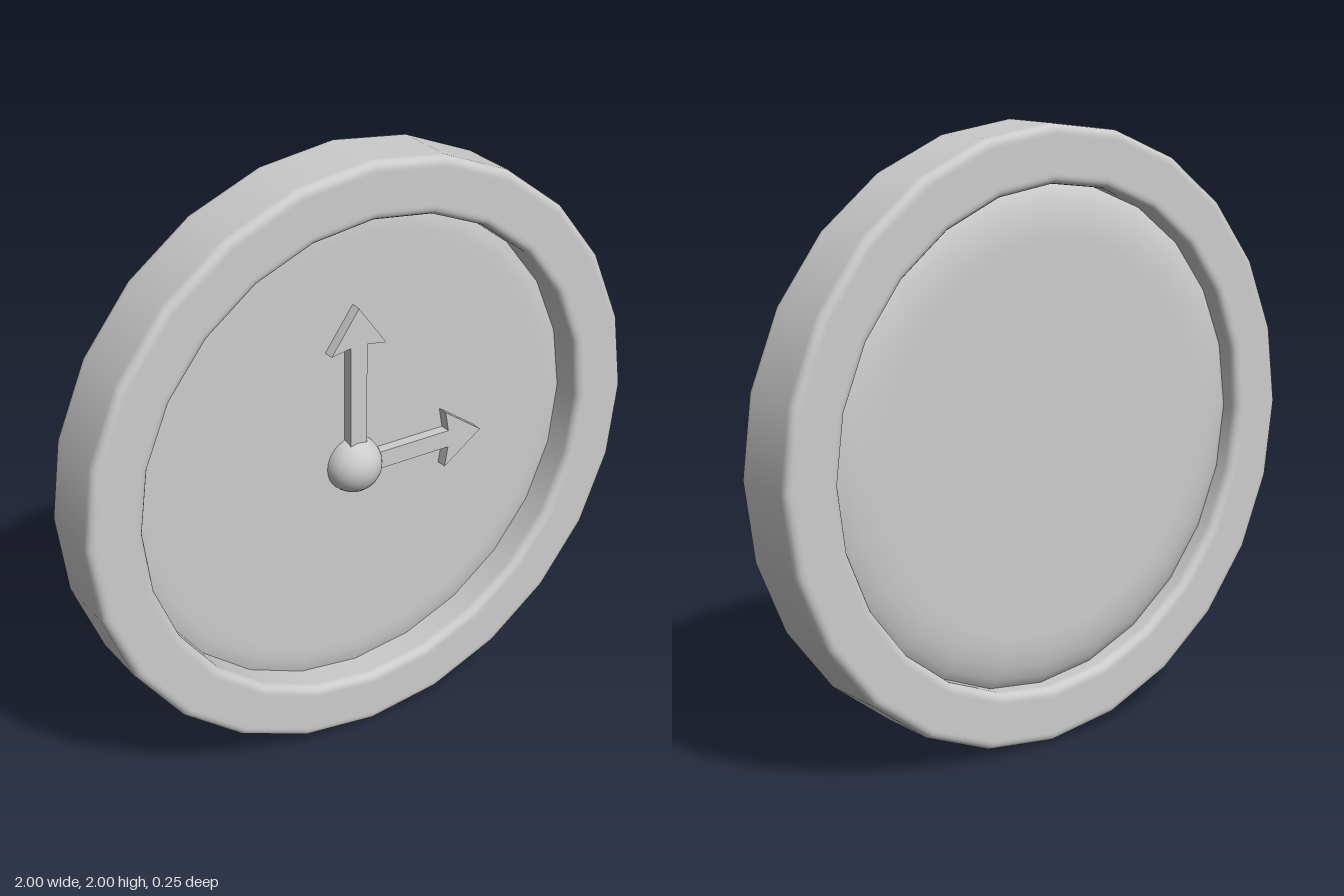
import * as THREE from 'three';

const material = new THREE.MeshStandardMaterial({ color: 0xcccccc });
const SIDES = 24;
const HUB = { x: -0.015, y: 0.955, z: 0.02 };

function addMesh(parent, name, geometry) {
  const mesh = new THREE.Mesh(geometry, material);
  mesh.name = name;
  parent.add(mesh);
  return mesh;
}

// Closed, counter-clockwise rounded rectangle in (radius, depth)
function roundedProfile(inner, outer, half, bevel) {
  const points = [];
  const corners = [
    [outer - bevel, -half + bevel, -90],
    [outer - bevel, half - bevel, 0],
    [inner + bevel, half - bevel, 90],
    [inner + bevel, -half + bevel, 180],
  ];
  for (const [cx, cy, start] of corners) {
    const at = (deg) => {
      const a = THREE.MathUtils.degToRad(deg);
      return new THREE.Vector2(cx + bevel * Math.cos(a), cy + bevel * Math.sin(a));
    };
    const along = (deg) => {
      const a = THREE.MathUtils.degToRad(deg + 90);
      return new THREE.Vector2(Math.cos(a), Math.sin(a)).multiplyScalar(0.008);
    };
    // Support points before and after each arc keep the flats flat
    points.push(at(start).sub(along(start)));
    for (let i = 0; i <= 4; i++) points.push(at(start + i * 22.5));
    points.push(at(start + 90).add(along(start + 90)));
  }
  points.push(points[0].clone());
  return points;
}

// Lathe whose axis points to the front
function turned(points) {
  return new THREE.LatheGeometry(points, SIDES).rotateX(Math.PI / 2);
}

// Arrow pointing up from the hub
function arrowGeometry(length) {
  const w = 0.03, barb = 0.1, base = length - 0.14;
  const half = [[w, 0.06], [w, base + 0.012], [barb, base]];
  const outline = [
    ...half, [0, length],
    ...half.slice().reverse().map(([x, y]) => [-x, y]),
  ].map(([x, y]) => new THREE.Vector2(x, y));
  return new THREE.ExtrudeGeometry(new THREE.Shape(outline), { depth: 0.045, bevelEnabled: false });
}

export function createModel() {
  const clock = new THREE.Group();
  clock.name = 'wallClock';

  // Outer rim with softened edges
  addMesh(clock, 'rim', turned(roundedProfile(0.815, 1, 0.125, 0.025))).position.y = 1;

  // Dial body: recessed flat front, pillowed back
  const dial = [
    [0, -0.095], [0.64, -0.095], [0.69, -0.093], [0.74, -0.086], [0.785, -0.073], [0.815, -0.055], [0.83, -0.04],
    [0.83, 0.005], [0.815, 0.01], [0.79, 0.016], [0.76, 0.02], [0.72, 0.02], [0, 0.02],
  ].map(([r, z]) => new THREE.Vector2(r, z));
  addMesh(clock, 'dial', turned(dial)).position.y = 1;

  // Hands sit slightly sunk in the dial
  for (const [name, length, turn] of [['minuteHand', 0.555, 0], ['hourHand', 0.475, -Math.PI / 2]]) {
    const hand = addMesh(clock, name, arrowGeometry(length));
    hand.position.set(HUB.x, HUB.y, 0.012);
    hand.rotation.z = turn;
  }

  // Domed hub at the pivot
  const hub = addMesh(clock, 'hub', new THREE.SphereGeometry(0.095, 24, 16));
  hub.position.set(HUB.x, HUB.y, HUB.z);

  return clock;
}
